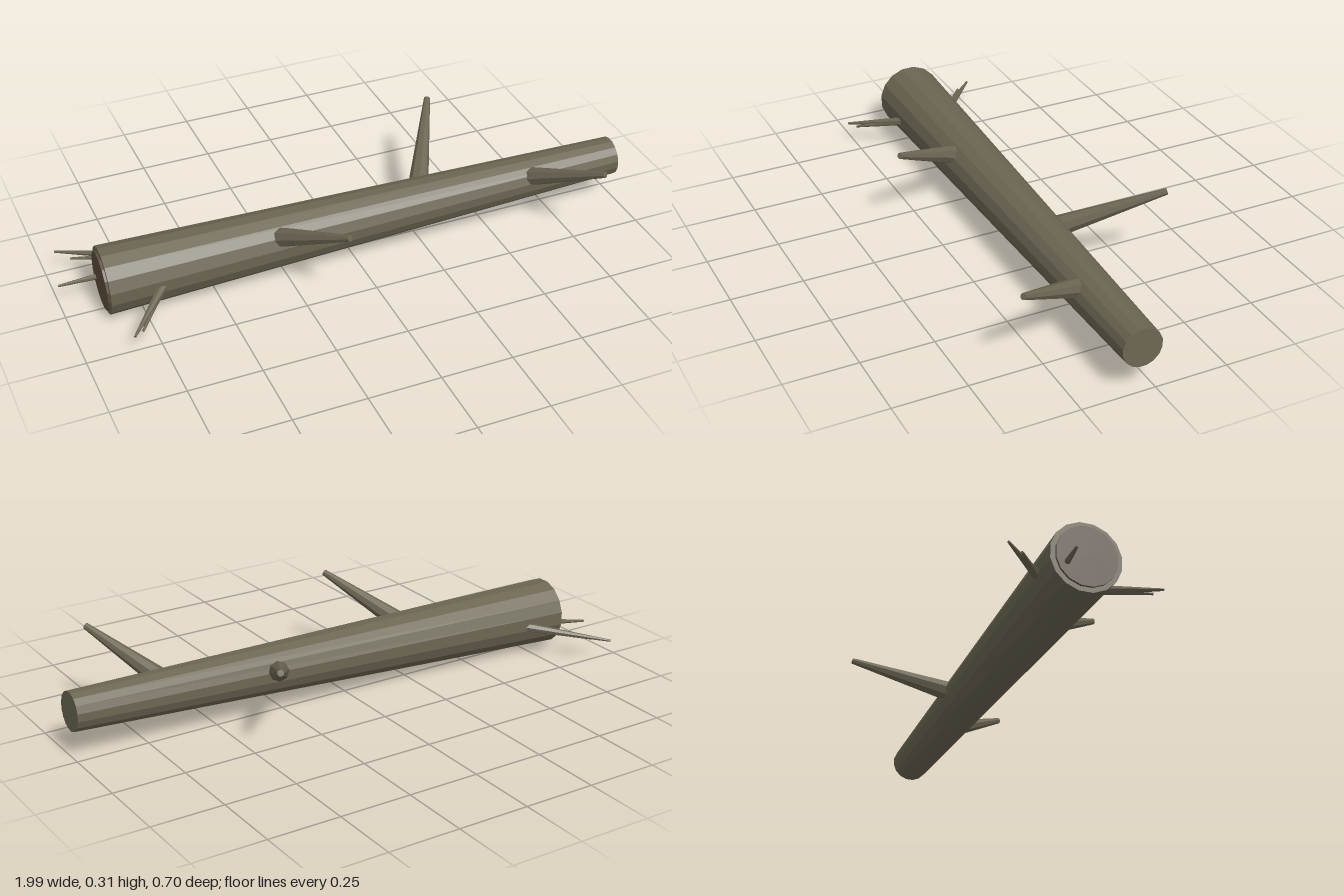
import * as THREE from 'three';

const bark = new THREE.MeshStandardMaterial({ color: 0x6b6552, flatShading: true });
const cutWood = new THREE.MeshStandardMaterial({ color: 0x5c4d3e, flatShading: true });

// Tapered round limb running from one point to another
function limb(name, from, to, r0, r1, sides, material = bark) {
  const a = new THREE.Vector3(...from);
  const b = new THREE.Vector3(...to);
  const dir = b.clone().sub(a);
  const geometry = new THREE.CylinderGeometry(r1, r0, dir.length(), sides);
  geometry.rotateY(Math.PI / sides);
  const mesh = new THREE.Mesh(geometry, material);
  mesh.name = name;
  mesh.position.copy(a).add(b).multiplyScalar(0.5);
  mesh.quaternion.setFromUnitVectors(new THREE.Vector3(0, 1, 0), dir.normalize());
  return mesh;
}

export function createModel() {
  const log = new THREE.Group();
  log.name = 'fallenLog';

  // Trunk, with a thin disc of cut wood on its thick end
  log.add(limb('trunk', [-0.867, 0.116, 0], [0.995, 0.157, 0.047], 0.116, 0.067, 16));
  log.add(limb('cutEnd', [-0.875, 0.116, 0], [-0.85, 0.1166, 0.0006], 0.1, 0.1, 16, cutWood));

  // Broken branches
  const branches = [
    [[-0.286, 0.165, 0.06], [-0.135, 0.303, 0.34]],
    [[0.281, 0.155, -0.035], [0.457, 0.303, -0.344]],
    [[0.644, 0.165, 0.06], [0.795, 0.303, 0.34]],
  ];
  for (const [from, to] of branches) log.add(limb('branch', from, to, 0.036, 0.011, 8));

  // Thin roots around the thick end: base, tip, base radius
  const roots = [
    [[-0.665, 0.118, 0.07], [-0.84, 0.068, 0.263], 0.019],
    [[-0.67, 0.115, 0.07], [-0.807, 0.066, 0.243], 0.014],
    [[-0.675, 0.118, -0.06], [-0.957, 0.068, -0.28], 0.019],
    [[-0.68, 0.115, -0.07], [-0.917, 0.066, -0.223], 0.014],
    [[-0.78, 0.1, -0.048], [-0.996, 0.071, -0.084], 0.014],
  ];
  for (const [from, to, r] of roots) log.add(limb('root', from, to, r, 0.004, 7));

  return log;
}
